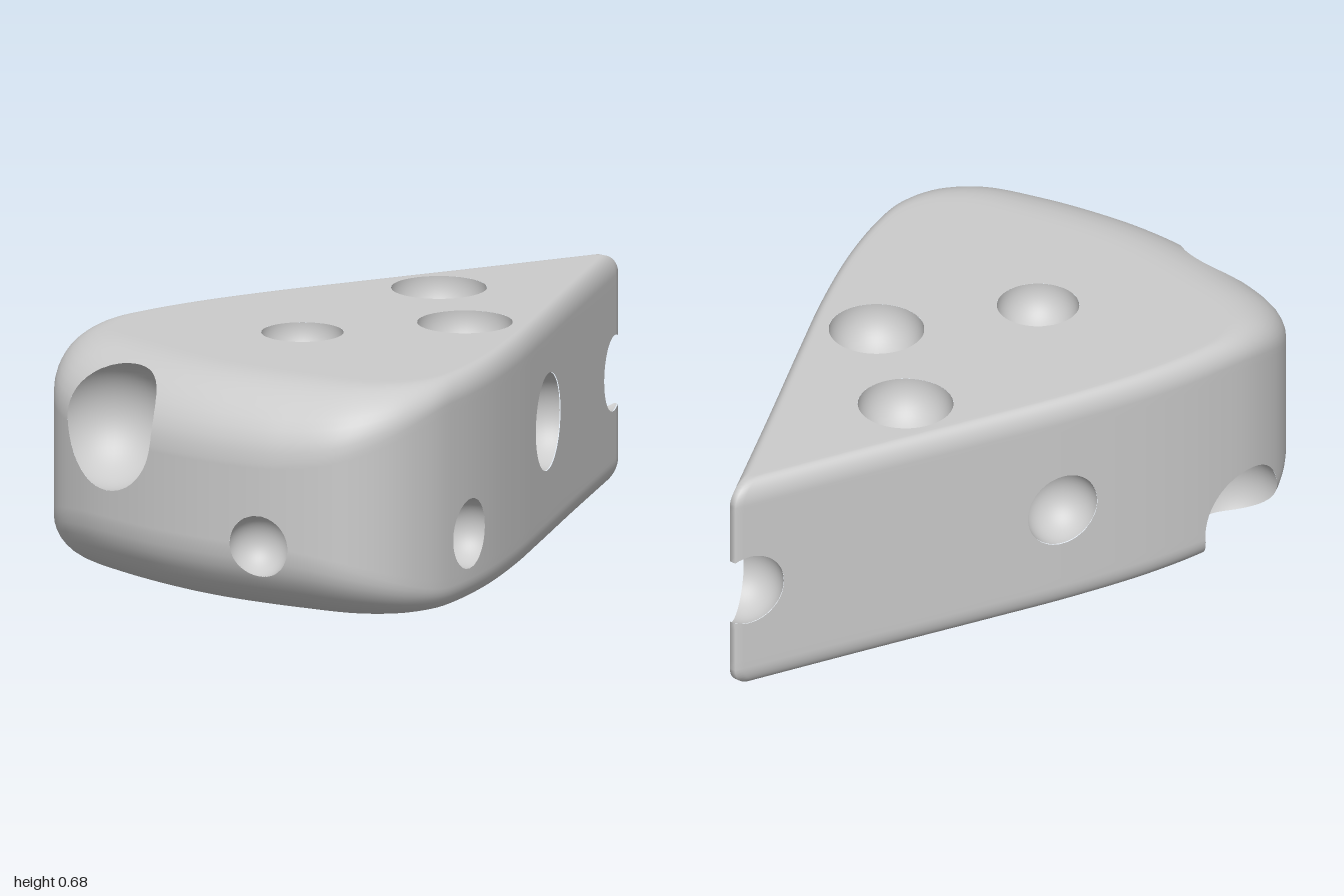
import * as THREE from 'three';

const HALF = 0.338;             // half the height
const CX = 0.1;                 // x of the centre line the wedge is swept around

// Wedge outline (x, z): pointed tip, straight sides, bulging rounded back
const side = [[1, 0.01], [0.6, 0.195], [0.25, 0.36], [0, 0.475], [-0.25, 0.572], [-0.45, 0.625],
  [-0.6, 0.642], [-0.75, 0.615], [-0.87, 0.53], [-0.95, 0.36], [-0.99, 0.16]];
const outline = new THREE.CatmullRomCurve3([
  ...side, [-1, 0], ...side.map(([x, z]) => [x, -z]).reverse(),
].map(([x, z]) => new THREE.Vector3(x, 0, z))).getSpacedPoints(180);

// Half-planes of the outline, scaled so that 1 lies on the edge
const planes = outline.map((p, i) => {
  const q = outline[(i + 1) % outline.length];
  const nx = q.z - p.z, nz = p.x - q.x;
  const h = nx * (p.x - CX) + nz * p.z;
  return [nx / h, nz / h];
});

// Edge rounding by direction: tight along the sides, wide at the back
function rounding(x, z) {
  const back = THREE.MathUtils.smoothstep((CX - x) / (Math.hypot(x - CX, z) || 1), 0.68, 0.98);
  return { w: 0.1 + 0.13 * back, k: 0.2 + 0.43 * back };
}

// Negative inside the wedge, positive outside
function wedgeField(p) {
  const x = p.x - CX;
  let rho = 0;
  for (const [a, b] of planes) rho = Math.max(rho, a * x + b * p.z);
  const { w, k } = rounding(p.x, p.z);
  const a = Math.max(0, (rho - 1 + w) / w);
  const b = Math.max(0, (Math.abs(p.y / HALF - 1) - 1 + k) / k);
  return a * a + b * b - 1;
}

// Top-to-bottom profile of one column as [radius fraction, height -1..1]
function profile({ w, k }) {
  const half = [];
  for (let i = 0; i < 28; i++) half.push([(1 - w) * i / 28, 1]);
  for (let i = 0; i < 10; i++) {
    const t = i / 10 * Math.PI / 2;
    half.push([1 - w + w * Math.sin(t), 1 - k + k * Math.cos(t)]);
  }
  for (let i = 0; i < 10; i++) half.push([1, (1 - k) * (1 - i / 10)]);
  return [...half, [1, 0], ...half.map(([r, y]) => [r, -y]).reverse()];
}

function wedgeGeometry() {
  const pos = [], index = [], cols = outline.length;
  let rows = 0;
  for (const p of outline) {
    const prof = profile(rounding(p.x, p.z));
    rows = prof.length;
    for (const [r, y] of prof) pos.push(CX + (p.x - CX) * r, HALF * (1 + y), p.z * r);
  }
  for (let j = 0; j < cols; j++) {
    for (let i = 0; i < rows - 1; i++) {
      const a = j * rows + i, d = ((j + 1) % cols) * rows + i;
      if (i < rows - 2) index.push(a, d + 1, a + 1);
      if (i > 0) index.push(a, d, d + 1);
    }
  }
  const g = new THREE.BufferGeometry();
  g.setAttribute('position', new THREE.Float32BufferAttribute(pos, 3));
  g.setIndex(index);
  g.computeVertexNormals();
  return g;
}

// Geometry -> list of triangles whose corners carry position and normal
function toTriangles(g) {
  const { position, normal } = g.attributes, idx = g.index.array, tris = [];
  const corner = (i) => ({
    p: new THREE.Vector3().fromBufferAttribute(position, i),
    n: new THREE.Vector3().fromBufferAttribute(normal, i),
  });
  for (let i = 0; i < idx.length; i += 3) tris.push([corner(idx[i]), corner(idx[i + 1]), corner(idx[i + 2])]);
  return tris;
}

function toGeometry(tris) {
  const pos = [], nor = [];
  for (const v of tris.flat()) {
    pos.push(v.p.x, v.p.y, v.p.z);
    nor.push(v.n.x, v.n.y, v.n.z);
  }
  const g = new THREE.BufferGeometry();
  g.setAttribute('position', new THREE.Float32BufferAttribute(pos, 3));
  g.setAttribute('normal', new THREE.Float32BufferAttribute(nor, 3));
  return g;
}

// Point between an inside and an outside corner where the field is zero
function crossing(inside, outside, field) {
  let lo = 0, hi = 1;
  const p = new THREE.Vector3();
  for (let i = 0; i < 14; i++) {
    const t = (lo + hi) / 2;
    if (field(p.lerpVectors(inside.p, outside.p, t)) < 0) lo = t; else hi = t;
  }
  return { p: p.clone(), n: inside.n.clone().lerp(outside.n, lo).normalize() };
}

// Keep only the parts of the triangles where the field is negative
function clip(tris, field) {
  const out = [];
  for (const tri of tris) {
    const keep = tri.map((v) => field(v.p) < 0);
    if (keep.every(Boolean)) { out.push(tri); continue; }
    if (!keep.some(Boolean)) continue;
    const poly = [];
    for (let i = 0; i < 3; i++) {
      const j = (i + 1) % 3;
      if (keep[i]) poly.push(tri[i]);
      if (keep[i] !== keep[j]) {
        poly.push(keep[i] ? crossing(tri[i], tri[j], field) : crossing(tri[j], tri[i], field));
      }
    }
    for (let i = 1; i < poly.length - 1; i++) out.push([poly[0], poly[i], poly[i + 1]]);
  }
  return out;
}

// Round holes: x, y, z, radius
const holes = {
  topHoleBack: [-0.33, 0.67, -0.06, 0.118],
  topHoleTip: [0.33, 0.67, -0.1, 0.137],
  topHoleFront: [0.06, 0.67, 0.22, 0.137],
  frontHoleLarge: [0.285, 0.36, 0.35, 0.142],
  frontHoleSmall: [-0.39, 0.2, 0.61, 0.102],
  tipHole: [0.945, 0.325, 0, 0.115],
  rearSideHole: [0.05, 0.32, -0.45, 0.112],
  rearCornerHole: [-0.56, 0.08, -0.6, 0.16],
  endHoleLarge: [-0.945, 0.49, -0.255, 0.19],
  endHoleSmall: [-0.96, 0.22, 0.3, 0.092],
  bottomHoleTip: [0.23, 0.005, 0.15, 0.118],
  bottomHoleBack: [-0.37, 0.005, 0.115, 0.152],
};

export function createModel() {
  const group = new THREE.Group();
  group.name = 'cheeseWedge';
  const material = new THREE.MeshStandardMaterial({ color: 0xcccccc });
  const add = (name, tris) => {
    const mesh = new THREE.Mesh(toGeometry(tris), material);
    mesh.name = name;
    group.add(mesh);
  };

  let body = toTriangles(wedgeGeometry());
  for (const [name, [x, y, z, r]] of Object.entries(holes)) {
    const centre = new THREE.Vector3(x, y, z);
    // Open the wedge surface where the hole meets it
    body = clip(body, (p) => r - p.distanceTo(centre));
    // Inward-facing hollow, kept only inside the wedge
    const ball = toTriangles(new THREE.SphereGeometry(r, 48, 32).translate(x, y, z));
    const hollow = ball.map(([a, b, c]) => [a, c, b].map((v) => ({ p: v.p, n: v.n.negate() })));
    add(name, clip(hollow, wedgeField));
  }
  add('wedgeBody', body);
  return group;
}
